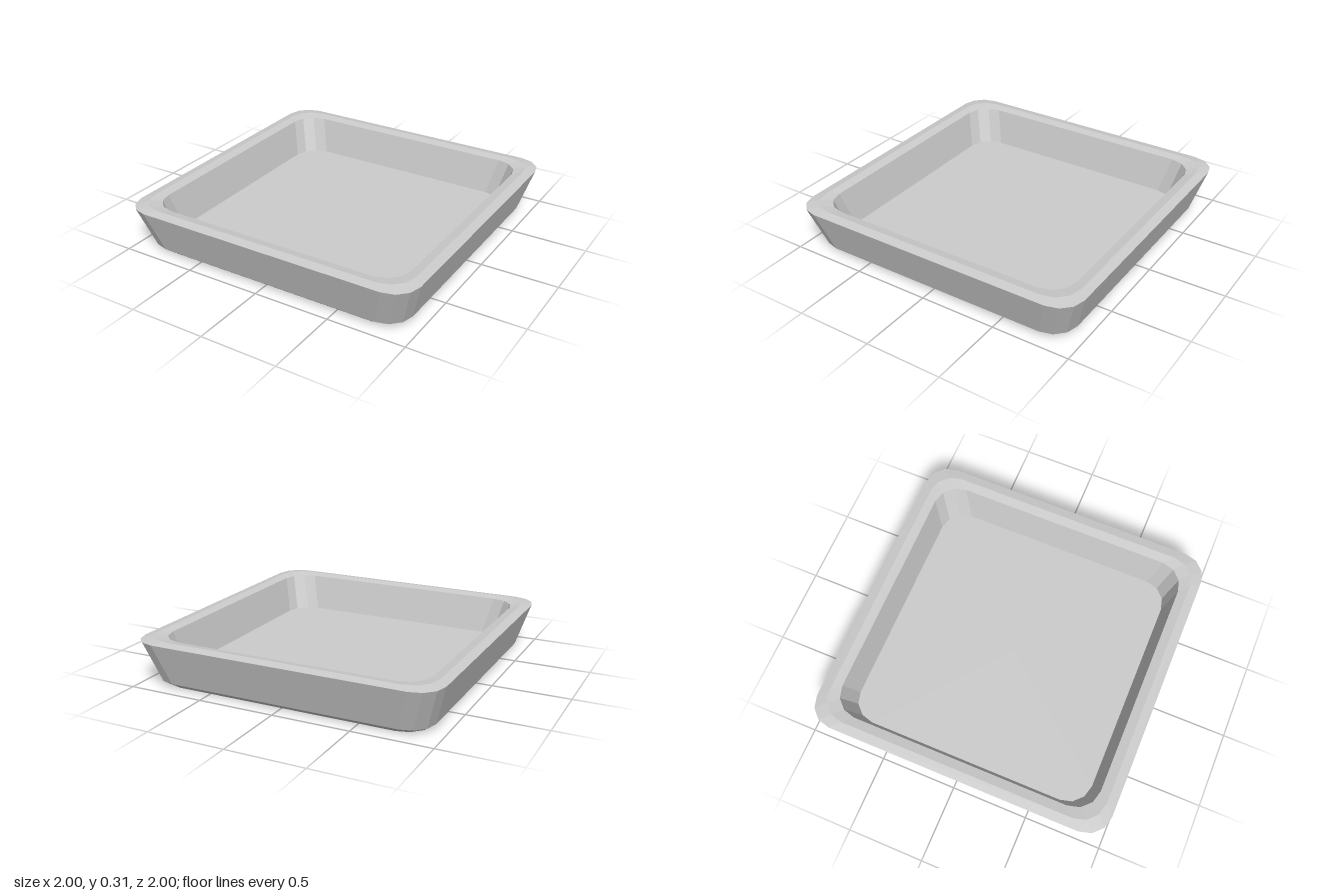
import * as THREE from 'three';

const RADIUS = 0.16; // corner radius shared by every section
const STEPS = 3; // facets per corner

// Rounded-square cross-section of half-width h at height y
function ring([h, y]) {
  const points = [];
  for (let corner = 0; corner < 4; corner++) {
    const mid = (corner + 0.5) * Math.PI / 2;
    const cx = Math.sign(Math.cos(mid)) * (h - RADIUS);
    const cz = Math.sign(Math.sin(mid)) * (h - RADIUS);
    for (let i = 0; i <= STEPS; i++) {
      const a = (corner + i / STEPS) * Math.PI / 2;
      points.push([cx + RADIUS * Math.cos(a), y, cz + RADIUS * Math.sin(a)]);
    }
  }
  return points;
}

function makeMesh(name, triangles, material) {
  const geometry = new THREE.BufferGeometry();
  geometry.setAttribute('position', new THREE.Float32BufferAttribute(triangles.flat(2), 3));
  geometry.computeVertexNormals();
  const mesh = new THREE.Mesh(geometry, material);
  mesh.name = name;
  return mesh;
}

// Band of faces joining successive sections
function loft(name, profile, material) {
  const rings = profile.map(ring);
  const triangles = [];
  for (let k = 0; k < rings.length - 1; k++) {
    const a = rings[k], b = rings[k + 1];
    a.forEach((p, i) => {
      const j = (i + 1) % a.length;
      triangles.push([p, b[i], a[j]], [a[j], b[i], b[j]]);
    });
  }
  return makeMesh(name, triangles, material);
}

// Flat panel filling one section
function panel(name, section, facesUp, material) {
  const points = ring(section);
  const center = [0, section[1], 0];
  const triangles = points.map((p, i) => {
    const q = points[(i + 1) % points.length];
    return facesUp ? [center, q, p] : [center, p, q];
  });
  return makeMesh(name, triangles, material);
}

export function createModel() {
  const material = new THREE.MeshStandardMaterial({ color: 0xcccccc, flatShading: true });
  const tray = new THREE.Group();
  tray.name = 'tray';

  // [half-width, height] of the key sections
  const foot = [0.885, 0], chamfer = [0.92, 0.03];
  const outerEdge = [1, 0.296], crest = [0.94, 0.307], innerEdge = [0.88, 0.296];
  const floorEdge = [0.82, 0.06];

  tray.add(
    panel('base', foot, false, material),
    loft('outerWall', [foot, chamfer, outerEdge], material),
    loft('rim', [outerEdge, crest, innerEdge], material),
    loft('innerWall', [innerEdge, floorEdge], material),
    panel('trayFloor', floorEdge, true, material),
  );
  return tray;
}
